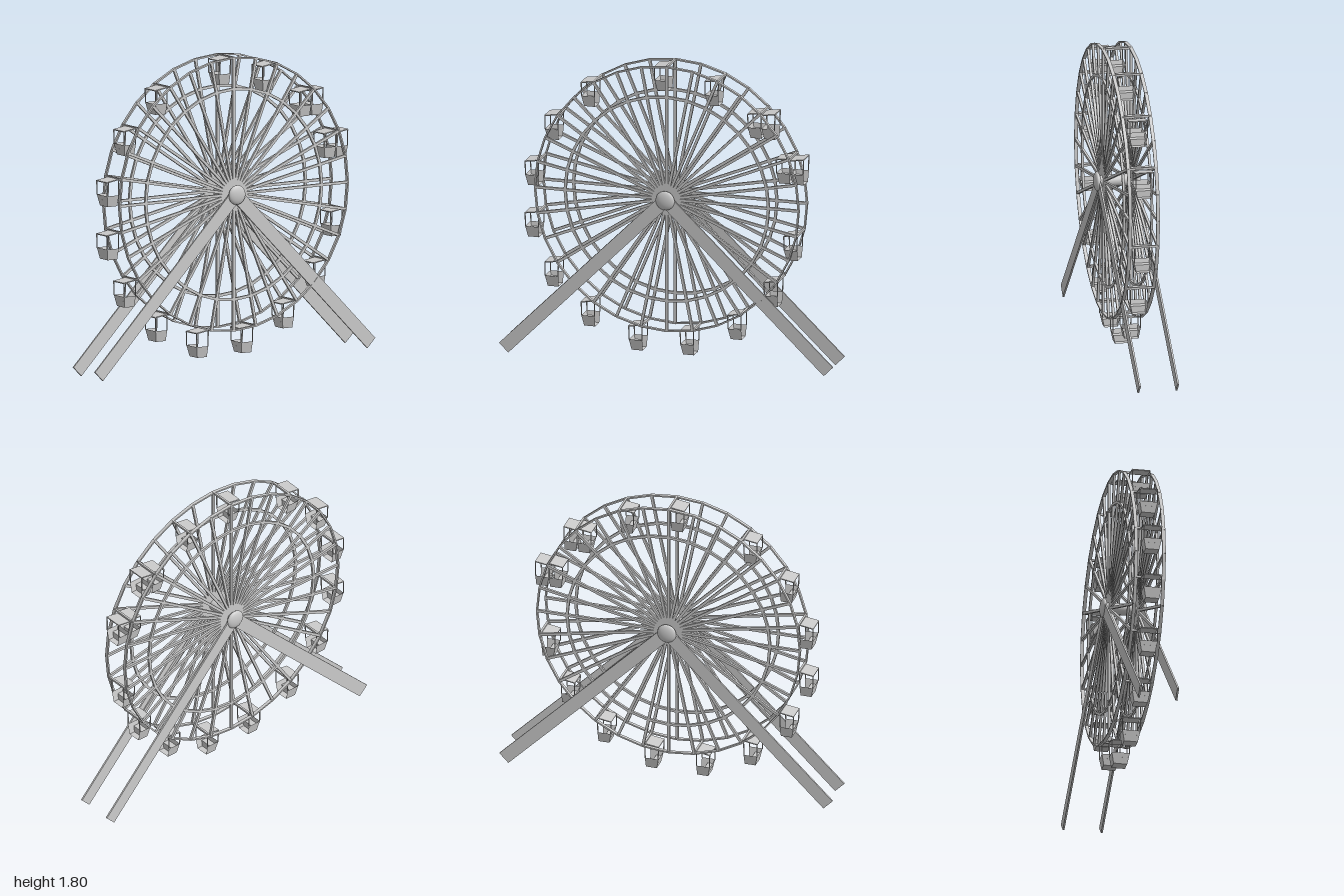
import * as THREE from 'three';

const grey = new THREE.MeshStandardMaterial({ color: 0xcccccc, flatShading: true });
const smooth = new THREE.MeshStandardMaterial({ color: 0xcccccc });
const sheet = new THREE.MeshStandardMaterial({ color: 0xcccccc, flatShading: true, side: THREE.DoubleSide });

const V = (x, y, z) => new THREE.Vector3(x, y, z);
const HUB_Y = 1.01, MID_Z = 0.0125, SIDES = 32, RIM_R = 0.797, INNER_R = 0.615;
const PLANES = [0.094, -0.069];

// Point on the wheel for spoke number k, counted anticlockwise from +x
function onWheel(k, r, z) {
  const a = (k / SIDES) * Math.PI * 2;
  return V(Math.cos(a) * r, HUB_Y + Math.sin(a) * r, z);
}

// Straight bar from p to q: width lies in the wheel plane, depth runs along z
function beam(name, p, q, width, depth) {
  const dir = q.clone().sub(p);
  const mesh = new THREE.Mesh(new THREE.BoxGeometry(width, dir.length(), depth), grey);
  dir.normalize();
  const side = dir.clone().cross(Math.abs(dir.z) > 0.9 ? V(0, 1, 0) : V(0, 0, 1)).normalize();
  mesh.quaternion.setFromRotationMatrix(
    new THREE.Matrix4().makeBasis(side, dir, side.clone().cross(dir)));
  mesh.position.copy(p).add(q).multiplyScalar(0.5);
  mesh.name = name;
  return mesh;
}

// Thin panels from quads of corner points
function panels(name, quads) {
  const pos = [];
  for (const [a, b, c, d] of quads)
    for (const v of [a, b, c, a, c, d]) pos.push(v.x, v.y, v.z);
  const geo = new THREE.BufferGeometry();
  geo.setAttribute('position', new THREE.Float32BufferAttribute(pos, 3));
  geo.computeVertexNormals();
  const mesh = new THREE.Mesh(geo, sheet);
  mesh.name = name;
  return mesh;
}

// Hanging cabin; its origin is the pivot at the top right corner of the roof
function cabin() {
  const g = new THREE.Group();
  g.name = 'cabin';
  const loop = (x0, x1, y, hz) =>
    [V(x0, y, hz), V(x1, y, hz), V(x1, y, -hz), V(x0, y, -hz)];
  const top = loop(-0.083, -0.002, -0.095, 0.053);
  const low = loop(-0.07, -0.004, -0.16, 0.04);
  const wall = (i, j) => [low[i], low[j], top[j], top[i]];
  // tub with an open entrance on its right side
  g.add(panels('tub', [low, wall(0, 1), wall(2, 3), wall(3, 0)]));
  // bench inside
  g.add(panels('bench', [
    [V(-0.078, -0.122, 0.046), V(-0.04, -0.122, 0.046), V(-0.04, -0.122, -0.046), V(-0.078, -0.122, -0.046)],
    [V(-0.04, -0.122, 0.046), V(-0.04, -0.16, 0.04), V(-0.04, -0.16, -0.04), V(-0.04, -0.122, -0.046)],
  ]));
  // sloping roof and corner posts
  const roof = beam('roof', V(-0.086, -0.016, 0), V(0, -0.003, 0), 0.006, 0.108);
  g.add(roof);
  for (const z of [0.052, -0.052]) {
    g.add(beam('post', V(-0.084, -0.015, z), V(-0.082, -0.097, z), 0.005, 0.005));
    g.add(beam('post', V(-0.002, -0.004, z), V(-0.004, -0.097, z), 0.005, 0.005));
  }
  return g;
}

export function createModel() {
  const model = new THREE.Group();
  model.name = 'ferrisWheel';

  // Two wheel faces: rim, inner ring and spokes
  const wheel = new THREE.Group();
  wheel.name = 'wheel';
  for (const z of PLANES) {
    for (let k = 0; k < SIDES; k++) {
      wheel.add(beam('rim', onWheel(k, RIM_R, z), onWheel(k + 1, RIM_R, z), 0.009, 0.02));
      wheel.add(beam('innerRing', onWheel(k, INNER_R, z), onWheel(k + 1, INNER_R, z), 0.016, 0.014));
      wheel.add(beam('spoke', V(0, HUB_Y, z), onWheel(k, RIM_R, z), 0.016, 0.014));
    }
  }
  model.add(wheel);

  // Cabins on cross bars: odd spokes on the left and below, even ones at upper right
  const hang = (x, y) => {
    const c = cabin();
    c.position.set(x, y, MID_Z + 0.002);
    model.add(c);
  };
  const pivots = [2, 4, 6, 8, 11, 13, 15, 17, 19, 21, 23, 25, 27, 29, 31];
  for (const k of pivots) {
    const p = onWheel(k, RIM_R, 0);
    model.add(beam('crossBar', V(p.x, p.y, PLANES[1]), V(p.x, p.y, PLANES[0]), 0.012, 0.012));
    hang(p.x, p.y);
  }
  // two extra cabins beside their neighbours
  for (const k of [2, 4]) {
    const p = onWheel(k, RIM_R, 0);
    hang(p.x + 0.083, p.y);
  }

  // Axle with a domed cap at each end
  const axle = new THREE.Mesh(new THREE.CylinderGeometry(0.034, 0.034, 0.23, 24), smooth);
  axle.rotation.x = Math.PI / 2;
  axle.position.set(0, HUB_Y, MID_Z);
  axle.name = 'axle';
  model.add(axle);
  for (const z of [0.13, -0.103]) {
    const cap = new THREE.Mesh(new THREE.SphereGeometry(0.057, 24, 16), smooth);
    cap.scale.z = 0.36;
    cap.position.set(0, HUB_Y, z);
    cap.name = 'axleCap';
    model.add(cap);
  }

  // Splayed flat legs, front and back
  const legs = [[0.122, -0.972, 0.037, 0.137], [0.122, 0.972, 0.052, 0.078],
    [-0.1, -0.972, 0.037, -0.083], [-0.1, 0.972, 0.052, -0.147]];
  for (const [z, x, y, footZ] of legs)
    model.add(beam(z > 0 ? 'frontLeg' : 'backLeg', V(0, HUB_Y, z), V(x, y, footZ), 0.078, 0.01));

  return model;
}
